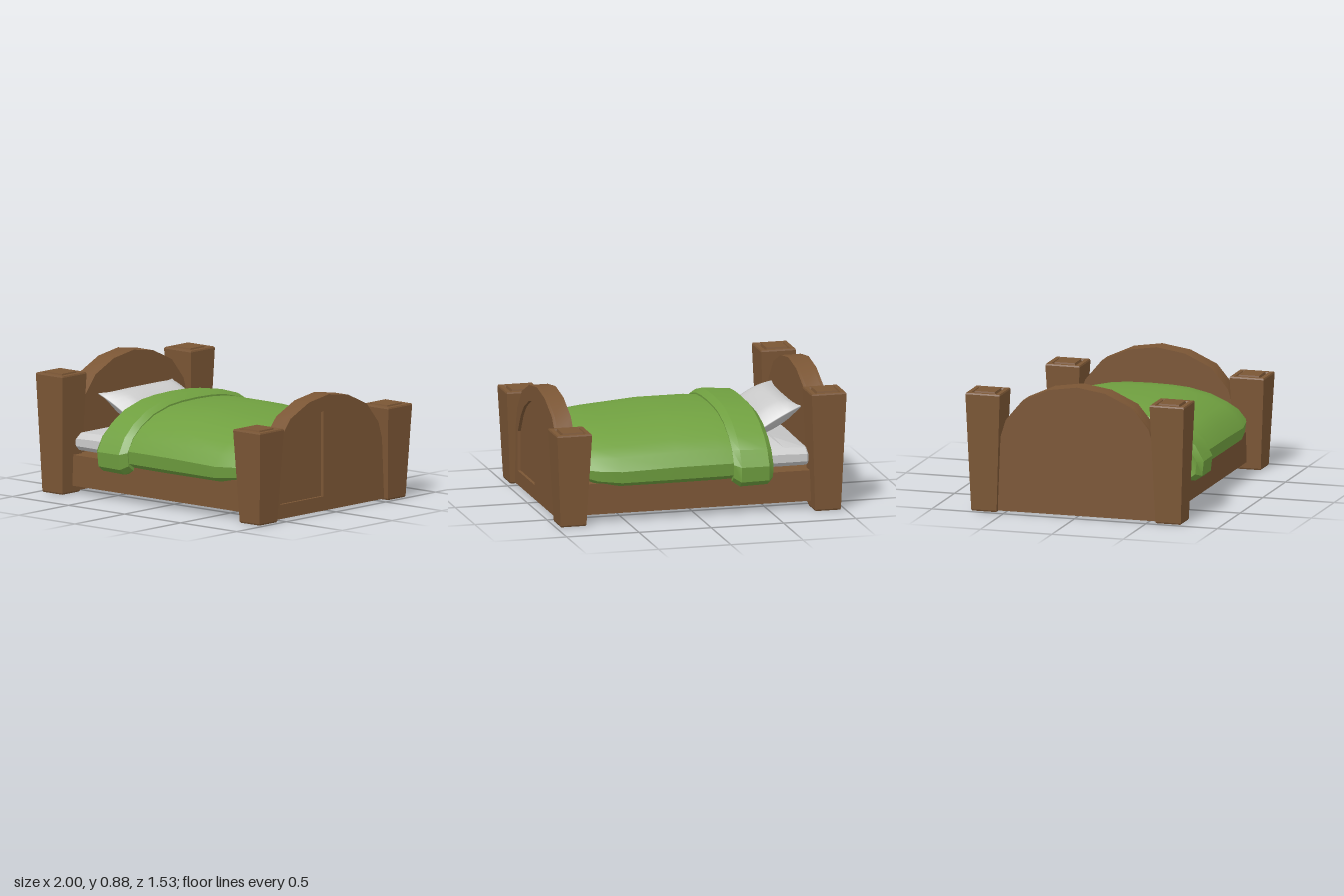
import * as THREE from 'three';
import { mergeVertices, toCreasedNormals } from 'three/addons/utils/BufferGeometryUtils.js';

const wood = new THREE.MeshStandardMaterial({ color: 0x7b5635 });
const green = new THREE.MeshStandardMaterial({ color: 0x70a040 });
const linen = new THREE.MeshStandardMaterial({ color: 0xcccccc });

function add(parent, name, geometry, material) {
  const mesh = new THREE.Mesh(geometry, material);
  mesh.name = name;
  parent.add(mesh);
  return mesh;
}

// Full left-right symmetric outline from its +z half (top centre to bottom)
const mirrored = half => [...half, ...half.filter(p => p[0] > 0).reverse().map(([z, y]) => [-z, y])];

// Skin closed [z, y] rings placed along x, with capped ends
function loft(sections, crease = 0.5) {
  const n = sections[0].ring.length;
  const pos = sections.flatMap(s => s.ring.flatMap(([z, y]) => [s.x, y, z]));
  const index = [];
  for (let i = 0; i < sections.length - 1; i++) {
    for (let j = 0; j < n; j++) {
      const a = i * n + j, b = i * n + (j + 1) % n;
      index.push(a, b, b + n, a, b + n, a + n);
    }
  }
  for (const [i, flip] of [[0, true], [sections.length - 1, false]]) {
    const { x, ring } = sections[i];
    const c = pos.length / 3;
    const ys = ring.map(p => p[1]);
    pos.push(x, (Math.min(...ys) + Math.max(...ys)) / 2, 0);
    for (let j = 0; j < n; j++) {
      const a = i * n + j, b = i * n + (j + 1) % n;
      index.push(c, flip ? b : a, flip ? a : b);
    }
  }
  const g = new THREE.BufferGeometry();
  g.setAttribute('position', new THREE.Float32BufferAttribute(pos, 3));
  g.setIndex(index);
  return toCreasedNormals(g, crease);
}

// Tapered square post with chamfered rim, groove and raised cap panel
function postGeometry(h) {
  const profile = [[0, 0], [0.084, 0], [0.089, 0.01], [0.12, h - 0.01], [0.116, h],
    [0.088, h], [0.082, h - 0.016], [0.075, h - 0.016], [0.07, h + 0.006], [0, h + 0.006]];
  const g = new THREE.LatheGeometry(profile.map(([r, y]) => new THREE.Vector2(r * Math.SQRT2, y)), 4);
  g.rotateY(Math.PI / 4);
  const flat = g.toNonIndexed();
  flat.computeVertexNormals();
  return flat;
}

// Slab in the z-y plane between x0 and x1, with optional openings
function slab(outline, x0, x1, holes = []) {
  const toVec = pts => pts.map(p => new THREE.Vector2(p[0], p[1]));
  const shape = new THREE.Shape(toVec(outline));
  shape.holes = holes.map(h => new THREE.Path(toVec(h)));
  const g = new THREE.ExtrudeGeometry(shape, { depth: x1 - x0, bevelEnabled: false });
  g.rotateY(Math.PI / 2).translate(x0, 0, 0);
  return toCreasedNormals(g, 0.48);
}

const boardOutline = top => mirrored([[0, top], [0.198, top - 0.03], [0.383, top - 0.115],
  [0.5, top - 0.255], [0.545, top - 0.4], [0.555, 0.008]]);

// Blanket cross-section, fitted to a top height, bottom height and half width
function blanketRing(top, bottom, halfWidth) {
  const unit = [[0, 1], [0.22, 0.99], [0.4, 0.96], [0.62, 0.86], [0.8, 0.7], [0.92, 0.53],
    [1, 0.3], [0.985, 0.08], [0.92, 0], [0.45, 0]];
  return mirrored(unit.map(([z, y]) => [z * halfWidth, bottom + y * (top - bottom)]));
}
const blanketLoft = rows => loft(rows.map(([x, top, bottom, w]) => ({ x, ring: blanketRing(top, bottom, w) })));

// Cushion: a box pinched to a thin seam, with corners pulled out to points
function pillowGeometry(halfX, thick, halfZ) {
  const g = new THREE.BoxGeometry(2, 2, 2, 8, 1, 12);
  const p = g.attributes.position;
  for (let i = 0; i < p.count; i++) {
    const u = p.getX(i), v = p.getZ(i), side = Math.sign(p.getY(i));
    const puff = Math.pow(Math.max(0, (1 - u * u) * (1 - v ** 4)), 0.5);
    p.setXYZ(i,
      u * halfX * (1 - 0.1 * (1 - v ** 4)),
      side * (0.004 + thick * puff),
      v * halfZ * (1 - 0.07 * (1 - u * u)));
  }
  g.deleteAttribute('uv');
  g.deleteAttribute('normal');
  const merged = mergeVertices(g, 1e-4);
  merged.computeVertexNormals();
  return merged;
}

export function createModel() {
  const bed = new THREE.Group();
  bed.name = 'bed';

  // Corner posts, taller at the head
  for (const [end, x, h] of [['head', -0.88, 0.81], ['foot', 0.88, 0.634]]) {
    for (const [side, z] of [['Front', 0.645], ['Back', -0.645]]) {
      add(bed, `${end}Post${side}`, postGeometry(h), wood).position.set(x, 0, z);
    }
  }

  // Headboard: arched core with a framed panel on both faces
  const headboard = new THREE.Group();
  headboard.name = 'headboard';
  const headPanel = mirrored([[0, 0.835], [0.18, 0.808], [0.345, 0.73], [0.45, 0.605],
    [0.485, 0.475], [0.485, 0.105]]);
  const headOutline = boardOutline(0.885);
  add(headboard, 'headboardCore', slab(headOutline, -0.925, -0.825), wood);
  add(headboard, 'headboardOuterFrame', slab(headOutline, -0.945, -0.925, [headPanel]), wood);
  add(headboard, 'headboardInnerFrame', slab(headOutline, -0.825, -0.805, [headPanel]), wood);
  bed.add(headboard);

  // Footboard: plain inside, two framed panels outside
  const footboard = new THREE.Group();
  footboard.name = 'footboard';
  const footPanel = [[0.055, 0.683], [0.2, 0.65], [0.33, 0.58], [0.41, 0.5],
    [0.485, 0.375], [0.485, 0.105], [0.055, 0.105]];
  const footOutline = boardOutline(0.79);
  add(footboard, 'footboardCore', slab(footOutline, 0.805, 0.915), wood);
  add(footboard, 'footboardFrame',
    slab(footOutline, 0.915, 0.935, [footPanel, footPanel.map(([z, y]) => [-z, y])]), wood);
  bed.add(footboard);

  // Solid base with side rails
  add(bed, 'base', new THREE.BoxGeometry(1.64, 0.21, 1.27).translate(0, 0.155, 0), wood);

  // Mattress, rounded at the edges and swelling towards the blanket
  const mattressRing = (edge, crown, w, lift = 0) => mirrored([[0, crown], [0.3, crown - 0.005],
    [w - 0.05, edge], [w, edge - 0.035], [w, 0.32 + lift], [w - 0.03, 0.29 + lift], [0.3, 0.28 + lift]]);
  add(bed, 'mattress', loft([
    { x: -0.79, ring: mattressRing(0.39, 0.395, 0.605, 0.01) },
    { x: -0.765, ring: mattressRing(0.405, 0.41, 0.625) },
    { x: -0.62, ring: mattressRing(0.41, 0.425, 0.628) },
    { x: -0.54, ring: mattressRing(0.41, 0.475, 0.628) },
    { x: -0.4, ring: mattressRing(0.41, 0.49, 0.628) },
    { x: 0.7, ring: mattressRing(0.4, 0.45, 0.6) },
  ]), linen);

  // Pillow leaning on the headboard
  const pillow = add(bed, 'pillow', pillowGeometry(0.195, 0.085, 0.37), linen);
  pillow.position.set(-0.62, 0.545, 0);
  pillow.rotation.z = -0.5;

  // Blanket and its folded-over band, as [x, top, bottom, half width]
  add(bed, 'blanket', blanketLoft([
    [-0.3, 0.615, 0.24, 0.69], [-0.15, 0.627, 0.238, 0.698], [0.14, 0.627, 0.236, 0.698],
    [0.53, 0.593, 0.236, 0.695], [0.69, 0.572, 0.255, 0.665], [0.745, 0.545, 0.275, 0.645],
    [0.768, 0.5, 0.31, 0.6],
  ]), green);
  add(bed, 'blanketFold', blanketLoft([
    [-0.505, 0.575, 0.24, 0.67], [-0.512, 0.605, 0.215, 0.7], [-0.475, 0.645, 0.195, 0.738],
    [-0.285, 0.66, 0.19, 0.738], [-0.24, 0.632, 0.22, 0.7],
  ]), green);

  return bed;
}
